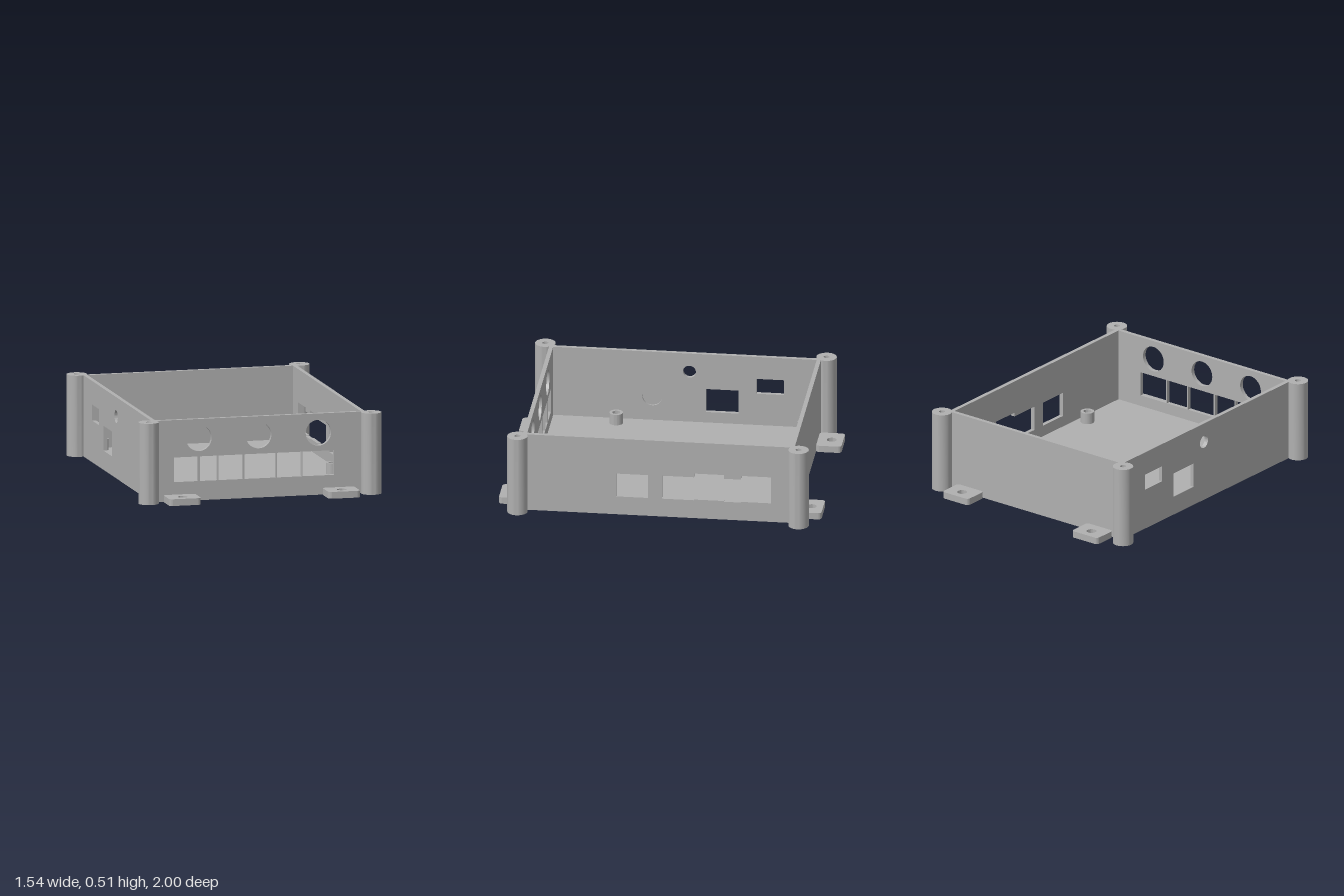
import * as THREE from 'three';
import { toCreasedNormals } from 'three/addons/utils/BufferGeometryUtils.js';

const W = 0.679, L = 0.843, T = 0.026, H = 0.508, FLOOR = 0.05;

// Outlines, usable as shapes or holes
const poly = (pts) => new THREE.Shape(pts.map(([x, y]) => new THREE.Vector2(x, y)));
const rect = (x0, x1, y0, y1) => poly([[x0, y0], [x1, y0], [x1, y1], [x0, y1]]);
const circle = (x, y, r) => new THREE.Shape().absarc(x, y, r, 0, Math.PI * 2, false);
const hexagon = (x, y, r) => poly(Array.from({ length: 6 }, (_, i) =>
  [x + r * Math.cos(i * Math.PI / 3), y + r * Math.sin(i * Math.PI / 3)]));

function roundedRect(x0, x1, y0, y1, r) {
  const s = new THREE.Shape(), q = Math.PI / 2;
  s.absarc(x1 - r, y0 + r, r, -q, 0, false);
  s.absarc(x1 - r, y1 - r, r, 0, q, false);
  s.absarc(x0 + r, y1 - r, r, q, 2 * q, false);
  s.absarc(x0 + r, y0 + r, r, 2 * q, 3 * q, false);
  s.closePath();
  return s;
}

function plate(outline, holes, depth) {
  outline.holes = holes;
  return toCreasedNormals(new THREE.ExtrudeGeometry(outline,
    { depth, bevelEnabled: false, curveSegments: 20 }), 0.6);
}

const turned = (pts) => toCreasedNormals(
  new THREE.LatheGeometry(pts.map(([x, y]) => new THREE.Vector2(x, y)), 40), 0.6);

export function createModel() {
  const model = new THREE.Group();
  model.name = 'enclosure';
  const grey = new THREE.MeshStandardMaterial({ color: 0xb0b0b0 });
  grey.name = 'grey plastic';

  const add = (name, geo, x = 0, y = 0, z = 0) => {
    const m = new THREE.Mesh(geo, grey);
    m.name = name;
    m.position.set(x, y, z);
    model.add(m);
  };
  const flat = (...a) => plate(...a).rotateX(-Math.PI / 2); // outline y becomes -z
  const side = (...a) => plate(...a).rotateY(Math.PI / 2);  // outline x becomes -z

  // Floor: nut recesses below, screw holes above
  const mounts = [];
  for (const x of [-0.582, 0.582]) for (const z of [-0.75, 0.417]) mounts.push([x, z]);
  const floorOutline = () => rect(-W + T, W - T, -L + T, L - T);
  add('floorUnderside', flat(floorOutline(), mounts.map(([x, z]) => hexagon(x, -z, 0.036)), 0.035));
  add('floor', flat(floorOutline(), mounts.map(([x, z]) => circle(x, -z, 0.024)), FLOOR - 0.035), 0, 0.035);

  // Board standoffs
  const standoff = turned([[0.024, FLOOR - 0.01], [0.042, FLOOR - 0.01], [0.042, 0.12],
    [0.024, 0.12], [0.024, FLOOR - 0.01]]);
  for (const [x, z] of mounts) add('standoff', standoff, x, 0, z);

  // Front wall: three round holes above a row of ports
  const ports = [[-0.54, -0.386], [-0.375, -0.262], [-0.256, -0.101],
    [-0.089, 0.109], [0.118, 0.274], [0.28, 0.48]];
  const frontHoles = [-0.38, 0, 0.38].map((x) => circle(x, 0.388, 0.081));
  for (const [a, b] of ports) frontHoles.push(rect(a, b, 0.12, 0.274));
  add('frontWall', plate(rect(-W, W, 0, H), frontHoles, T), 0, 0, L - T);
  add('backWall', plate(rect(-W, W, 0, H), [], T), 0, 0, -L);

  // Left wall: one port and a stepped slot
  const sideOutline = () => rect(-L + T, L - T, 0, H);
  const slot = poly([[0.02, 0.12], [0.22, 0.12], [0.22, 0.125], [0.405, 0.125], [0.405, 0.12],
    [0.51, 0.12], [0.51, 0.125], [0.697, 0.125], [0.697, 0.3], [0.51, 0.3], [0.51, 0.275],
    [0.405, 0.275], [0.405, 0.3], [0.22, 0.3], [0.22, 0.275], [0.02, 0.275]]);
  add('leftWall', side(sideOutline(), [rect(-0.263, -0.065, 0.12, 0.274), slot], T), W - T);

  // Right wall: two windows, a small hole, and a round pocket on the inside
  const rightHoles = () => [rect(0.13, 0.333, 0.12, 0.275), rect(0.445, 0.615, 0.26, 0.36),
    circle(0.028, 0.386, 0.04)];
  add('rightWallOuter', side(sideOutline(), rightHoles(), T / 2), -W);
  add('rightWallInner', side(sideOutline(), [...rightHoles(), circle(-0.202, 0.21, 0.063)], T / 2), -W + T / 2);

  // Corner posts with blind screw holes, and mounting tabs
  const post = turned([[0, 0], [0.063, 0], [0.063, H], [0.018, H], [0.018, H - 0.2], [0, H - 0.2]]);
  const tab = flat(roundedRect(-0.101, 0.101, -0.079, 0.079, 0.022), [circle(0, 0.008, 0.03)], 0.042);
  for (const sx of [-1, 1]) for (const sz of [-1, 1]) {
    add('cornerPost', post, sx * 0.708, 0, sz * 0.872);
    add('mountingTab', tab.clone().rotateY(sz > 0 ? Math.PI : 0), sx * 0.506, 0, sz * 0.921);
  }
  return model;
}
